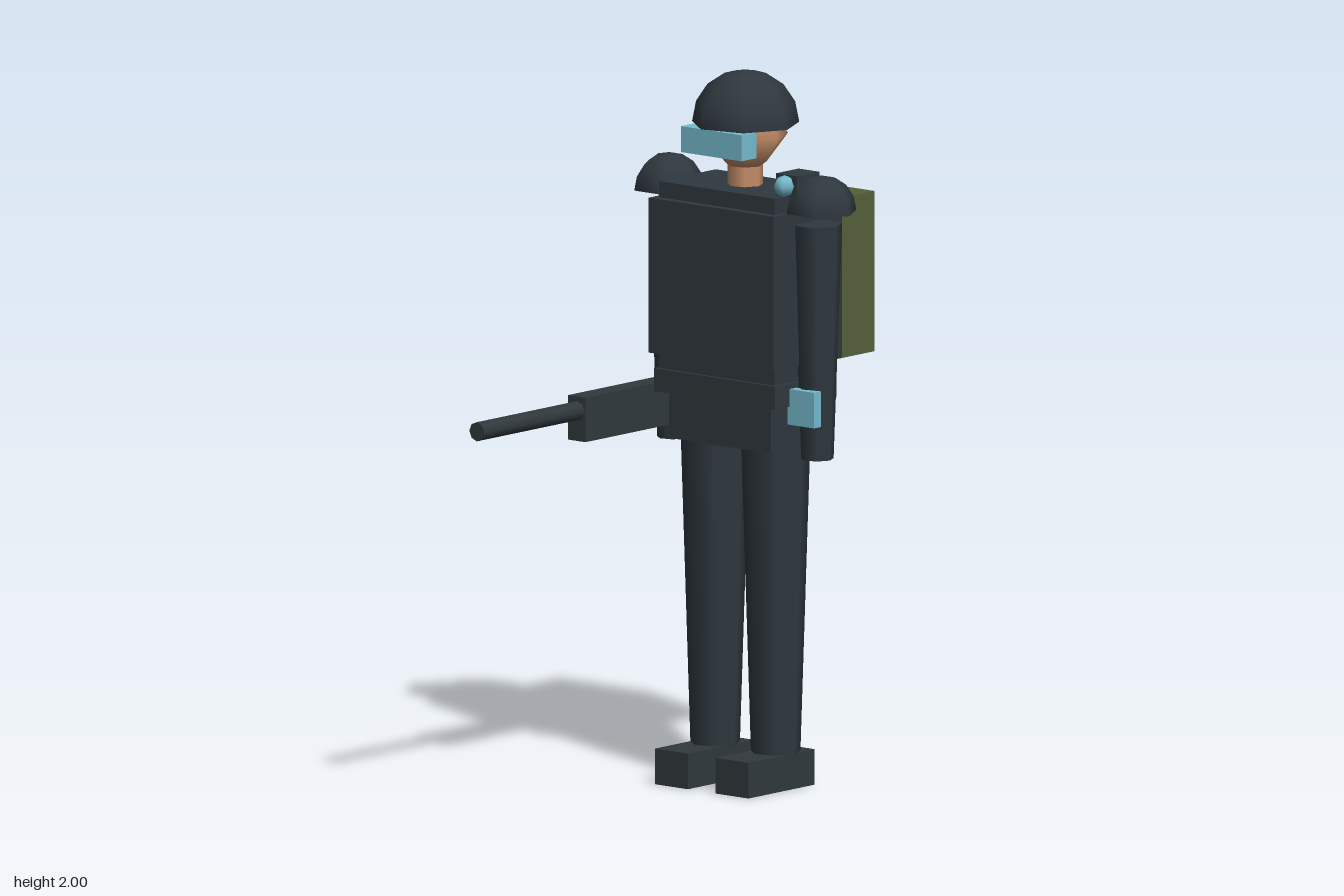
import * as THREE from 'three';

const mat = (name, color, side = THREE.FrontSide) => {
  const m = new THREE.MeshStandardMaterial({ color, side });
  m.name = name;
  return m;
};

export function createModel() {
  const armour = mat('darkArmour', 0x2f383f, THREE.DoubleSide);
  const gear = mat('darkGear', 0x31393d);
  const glass = mat('blueGlass', 0x76bcd0);
  const skin = mat('skin', 0xc68f6a);
  const olive = mat('oliveCanvas', 0x556039);

  const model = new THREE.Group();
  model.name = 'armouredFigure';
  const Z = -0.24; // depth of the body's axis

  const add = (name, geometry, material, x, y, z) => {
    const m = new THREE.Mesh(geometry, material);
    m.name = name;
    m.position.set(x, y, z);
    model.add(m);
    return m;
  };
  // box given by its ranges along y and z
  const box = (name, material, x, w, y0, y1, z0, z1) =>
    add(name, new THREE.BoxGeometry(w, y1 - y0, z1 - z0), material, x, (y0 + y1) / 2, (z0 + z1) / 2);
  // upright tapered cylinder with a corner towards +x
  const limb = (name, material, x, rTop, rBottom, y0, y1, sides = 7) =>
    add(name, new THREE.CylinderGeometry(rTop, rBottom, y1 - y0, sides).rotateY(Math.PI / 2),
      material, x, (y0 + y1) / 2, Z);
  const dome = (name, x, y, r, sides) =>
    add(name, new THREE.SphereGeometry(r, sides, 4, 0, Math.PI * 2, 0, Math.PI / 2).rotateY(Math.PI),
      armour, x, y, Z);

  // trunk
  box('torso', armour, 0, 0.42, 1.15, 1.68, -0.36, -0.12);
  box('chestArmour', armour, 0, 0.455, 1.2, 1.635, -0.386, -0.095);
  box('belt', gear, 0, 0.44, 1.09, 1.155, -0.37, -0.11);
  box('pelvis', armour, 0, 0.37, 0.96, 1.09, -0.347, -0.133);
  box('backpack', olive, 0, 0.325, 1.18, 1.63, -0.6, -0.405);

  // head
  limb('neck', skin, 0, 0.05, 0.05, 1.64, 1.74);
  const profile = [[0, 1.7], [0.06, 1.742], [0.12, 1.82], [0.075, 1.9], [0, 1.94]]
    .map(([r, y]) => new THREE.Vector2(r, y));
  add('head', new THREE.LatheGeometry(profile, 7).rotateY(Math.PI / 2), skin, 0, 0, Z);
  dome('helmet', 0, 1.85, 0.152, 7);
  box('visor', glass, 0, 0.22, 1.777, 1.85, -0.16, -0.095);

  // arms, shoulders, legs and boots on both sides
  for (const [side, s] of [['left', 1], ['right', -1]]) {
    dome(side + 'ShoulderPad', s * 0.277, 1.635, 0.102, 6);
    limb(side + 'Arm', armour, s * 0.262, 0.07, 0.046, 0.94, 1.6);
    limb(side + 'Leg', armour, s * 0.11, 0.1, 0.07, 0.09, 1.03);
    box(side + 'Boot', gear, s * 0.11, 0.12, 0, 0.1, -0.335, -0.055);
  }

  // wrist screen and shoulder lamp on the left
  box('wristScreen', glass, 0.262, 0.095, 1.04, 1.14, -0.2, -0.17);
  box('lampHousing', gear, 0.215, 0.076, 1.68, 1.742, -0.26, -0.165);
  add('lamp', new THREE.SphereGeometry(0.031, 6, 4), glass, 0.217, 1.712, -0.153);

  // gun held in the right hand
  box('gunBody', gear, -0.26, 0.063, 0.985, 1.11, -0.23, 0.172);
  add('gunBarrel', new THREE.CylinderGeometry(0.027, 0.027, 0.44, 8).rotateX(Math.PI / 2),
    gear, -0.259, 1.07, 0.378);

  return model;
}
